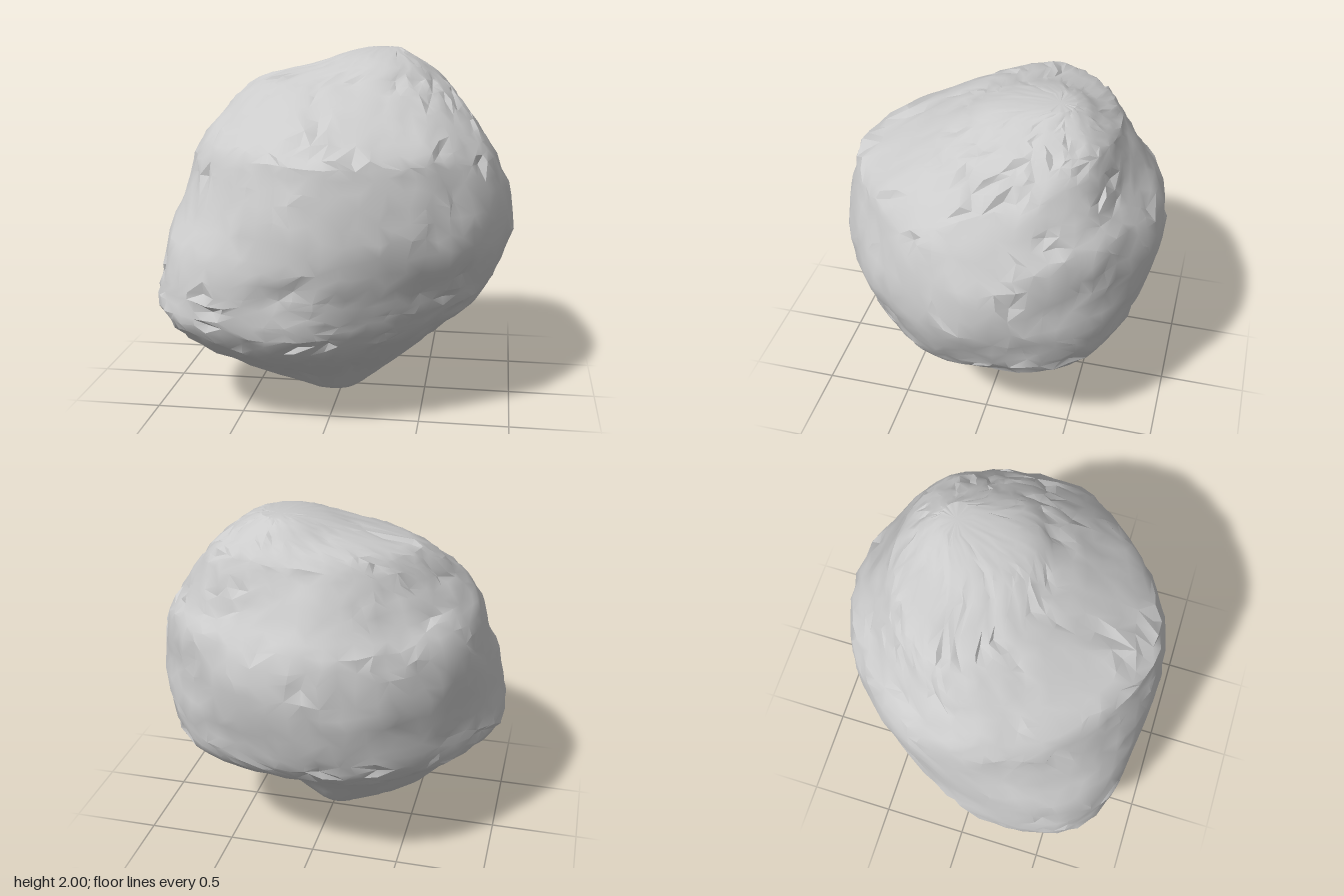
import * as THREE from 'three';
import { toCreasedNormals } from 'three/addons/utils/BufferGeometryUtils.js';

// Cross-sections: height, limits in x, limits in z
const SECTIONS = [
  [0.00, -0.06, 0.00, 0.03, 0.09],
  [0.05, -0.20, 0.12, -0.04, 0.20],
  [0.20, -0.55, 0.30, -0.17, 0.38],
  [0.38, -0.76, 0.48, -0.34, 0.69],
  [0.50, -0.88, 0.62, -0.50, 0.82],
  [0.60, -0.98, 0.78, -0.69, 0.86],
  [0.70, -1.00, 0.87, -0.80, 0.87],
  [0.82, -0.97, 0.92, -0.85, 0.89],
  [1.00, -0.95, 0.99, -0.89, 0.92],
  [1.20, -0.91, 0.97, -0.91, 0.91],
  [1.40, -0.86, 0.90, -0.87, 0.86],
  [1.52, -0.79, 0.82, -0.79, 0.81],
  [1.65, -0.70, 0.72, -0.72, 0.57],
  [1.77, -0.61, 0.62, -0.66, 0.36],
  [1.85, -0.48, 0.54, -0.62, 0.20],
  [1.92, -0.18, 0.45, -0.54, 0.09],
  [1.97, -0.03, 0.36, -0.48, -0.05],
  [2.00, 0.10, 0.30, -0.42, -0.25],
];

// Squareness of the corners (2 = round): height, then -x+z, +x+z, -x-z, +x-z
const CORNERS = [
  [0.00, 2.0, 2.0, 2.0, 2.0],
  [0.38, 2.1, 1.7, 1.85, 2.4],
  [0.60, 2.4, 1.7, 1.9, 3.0],
  [0.82, 2.1, 1.7, 2.1, 2.2],
  [1.10, 1.8, 1.7, 2.1, 1.8],
  [1.50, 1.75, 1.75, 1.8, 2.2],
  [1.75, 1.65, 2.1, 1.55, 2.7],
  [1.90, 1.6, 2.4, 1.5, 2.6],
  [2.00, 2.0, 2.0, 2.0, 2.0],
];

const RINGS = 40;
const SEGMENTS = 64;
const MIDDLE = new THREE.Vector3(0, 0.95, 0);

function seeded(seed) {
  return () => {
    seed = (seed * 16807) % 2147483647;
    return seed / 2147483647;
  };
}

// Smoothly blended cross-section at t in 0..1
function sectionAt(t) {
  const last = SECTIONS.length - 1;
  const f = t * last;
  const i = Math.min(Math.floor(f), last - 1);
  const u = f - i, u2 = u * u, u3 = u2 * u;
  const [p, a, b, n] = [Math.max(i - 1, 0), i, i + 1, Math.min(i + 2, last)].map((k) => SECTIONS[k]);
  return a.map((v, k) => {
    const m0 = (b[k] - p[k]) / 2, m1 = (n[k] - v) / 2;
    return (2 * u3 - 3 * u2 + 1) * v + (u3 - 2 * u2 + u) * m0 + (3 * u2 - 2 * u3) * b[k] + (u3 - u2) * m1;
  });
}

// Squareness of one corner (1..4) at a height
function squareness(y, corner) {
  const i = Math.max(1, CORNERS.findIndex((row) => row[0] >= y - 1e-6));
  const [a, b] = [CORNERS[i - 1], CORNERS[i]];
  return THREE.MathUtils.mapLinear(y, a[0], b[0], a[corner], b[corner]);
}

// Point of the smooth body; the -x flank leans towards the front
function bodyPoint(t, angle) {
  const [y, x0, x1, z0, z1] = sectionAt(t);
  const a = (x1 - x0) / 2, b = (z1 - z0) / 2;
  const c = Math.cos(angle), d = Math.sin(angle);
  const n = squareness(y, 1 + (c < 0 ? 0 : 1) + (d > 0 ? 0 : 2));
  const radius = 1 / Math.pow(Math.abs(c) ** n + Math.abs(d) ** n, 1 / n);
  const lean = 0.3 * b * (1 - 0.9 * THREE.MathUtils.smoothstep(y, 0.8, 1.4));
  const shift = c < 0 ? lean * (c * radius) ** 2 : 0;
  const point = new THREE.Vector3((x0 + x1) / 2 + a * c * radius, y, (z0 + z1) / 2 + b * d * radius + shift);
  return { point, rough: Math.min(1, a * 1.4) };
}

// Broad dents and swellings
function lumps({ x, y, z }) {
  return 0.010 * Math.sin(5.1 * x + 3.2 * y + 1) * Math.sin(4.3 * z - 2.7 * y)
    + 0.008 * Math.sin(9 * y + 4 * z) * Math.sin(8 * x - 5 * z + 2);
}

function rockGeometry() {
  const random = seeded(71);
  const positions = [];
  const index = [];

  // rough skin: lumps, fine grain and occasional chips
  for (let r = 0; r <= RINGS; r++) {
    const jitter = r > 0 && r < RINGS ? 0.5 : 0;
    for (let s = 0; s < SEGMENTS; s++) {
      const t = (r + (random() - 0.5) * jitter) / RINGS;
      const angle = ((s + (random() - 0.5) * jitter) / SEGMENTS) * Math.PI * 2;
      const { point, rough } = bodyPoint(t, angle);
      const chip = random() < 0.1 ? -0.02 : 0;
      const grow = 1 + rough * (lumps(point) + (random() - 0.5) * 0.018 + chip);
      point.sub(MIDDLE).multiplyScalar(grow).add(MIDDLE);
      positions.push(point.x, THREE.MathUtils.clamp(point.y, 0, 2), point.z);
    }
  }

  // faces between rings, with varied diagonals
  for (let r = 0; r < RINGS; r++) {
    for (let s = 0; s < SEGMENTS; s++) {
      const p = r * SEGMENTS + s, q = r * SEGMENTS + ((s + 1) % SEGMENTS);
      const u = p + SEGMENTS, v = q + SEGMENTS;
      if (random() < 0.5) index.push(p, u, q, q, u, v);
      else index.push(p, u, v, p, v, q);
    }
  }

  // bottom and top caps
  for (const r of [0, RINGS]) {
    const [y, x0, x1, z0, z1] = sectionAt(r / RINGS);
    const centre = positions.length / 3;
    positions.push((x0 + x1) / 2, y, (z0 + z1) / 2);
    for (let s = 0; s < SEGMENTS; s++) {
      const p = r * SEGMENTS + s, q = r * SEGMENTS + ((s + 1) % SEGMENTS);
      if (r === 0) index.push(centre, p, q);
      else index.push(centre, q, p);
    }
  }

  const geometry = new THREE.BufferGeometry();
  geometry.setAttribute('position', new THREE.Float32BufferAttribute(positions, 3));
  geometry.setIndex(index);
  return toCreasedNormals(geometry, THREE.MathUtils.degToRad(30));
}

export function createModel() {
  const group = new THREE.Group();
  group.name = 'boulder';
  const rock = new THREE.Mesh(rockGeometry(), new THREE.MeshStandardMaterial({ color: 0xcccccc }));
  rock.name = 'rock';
  group.add(rock);
  return group;
}
